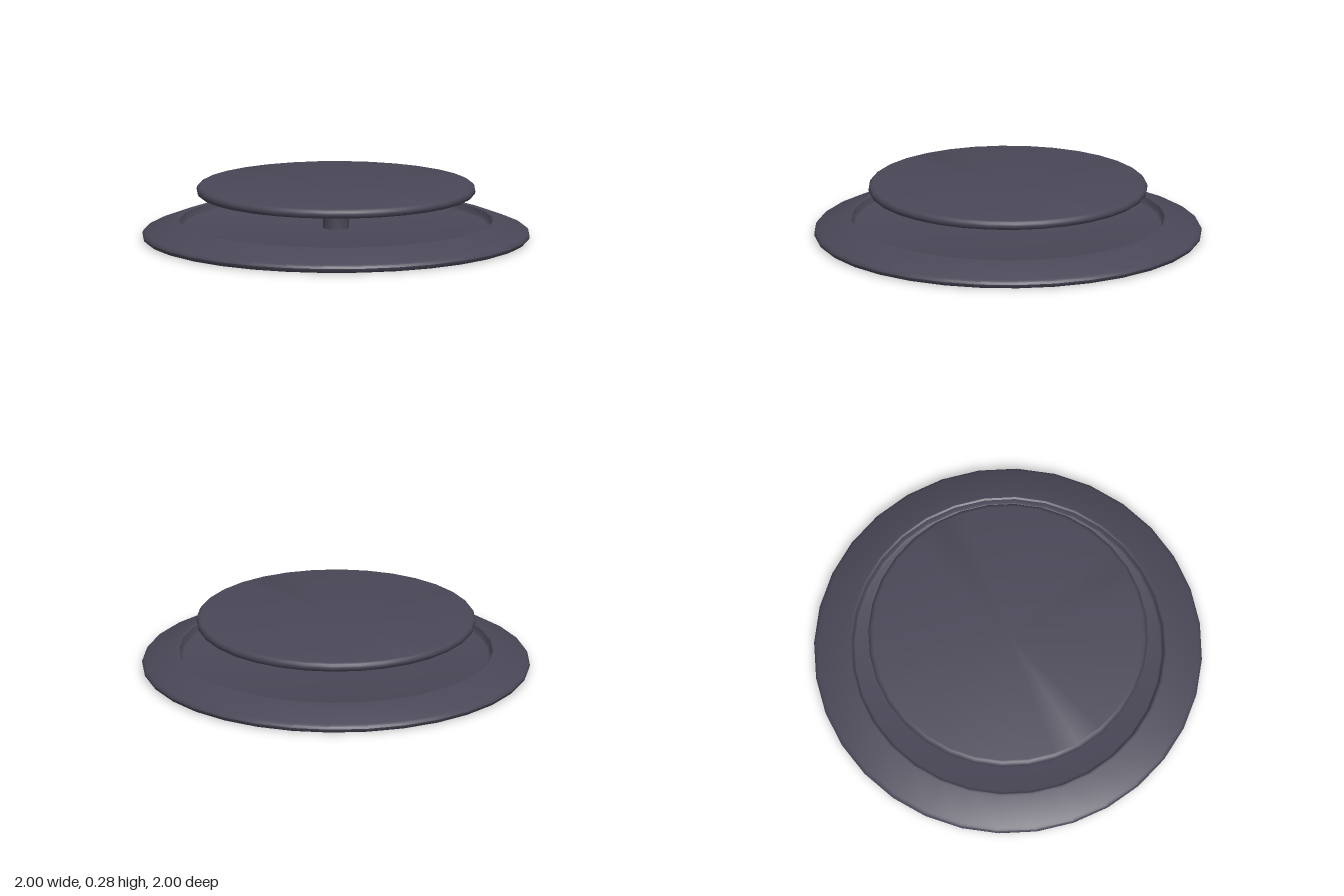
import * as THREE from 'three';
import { toCreasedNormals } from 'three/addons/utils/BufferGeometryUtils.js';

const SIDES = 32;

export function createModel() {
  const group = new THREE.Group();
  const material = new THREE.MeshStandardMaterial({ color: 0x4a4757 });

  // Turned part from a [radius, height] profile, bottom to top
  const turned = (name, profile, crease = 0.6) => {
    const points = profile.map(([r, y]) => new THREE.Vector2(r, y));
    const geometry = toCreasedNormals(new THREE.LatheGeometry(points, SIDES), crease);
    const mesh = new THREE.Mesh(geometry, material);
    mesh.name = name;
    group.add(mesh);
  };

  // Half-round edge from the underside to the top of a disc
  const roundEdge = (radius, bottom, top, steps = 8) => {
    const h = (top - bottom) / 2;
    return Array.from({ length: steps + 1 }, (_, i) => {
      const a = -Math.PI / 2 + (Math.PI * i) / steps;
      return [radius - h + h * Math.cos(a), bottom + h + h * Math.sin(a)];
    });
  };

  // Wide base: rounded foot, sloping shoulder and a shallow recessed floor
  turned('base', [
    [0, 0], [0.972, 0], [0.988, 0.005], [0.997, 0.014], [1, 0.025], [0.994, 0.037], [0.98, 0.045],
    [0.825, 0.104], [0.815, 0.105], [0.806, 0.1],
    [0.8, 0.075], [0.793, 0.066], [0.78, 0.062], [0, 0.062],
  ]);

  // Central post with a small flare under the plate
  turned('post', [
    [0.066, 0.06], [0.066, 0.21], [0.069, 0.222], [0.077, 0.231], [0.09, 0.236],
  ]);

  // Raised round plate
  turned('plate', [[0, 0.234], ...roundEdge(0.72, 0.234, 0.284), [0, 0.284]]);

  return group;
}
